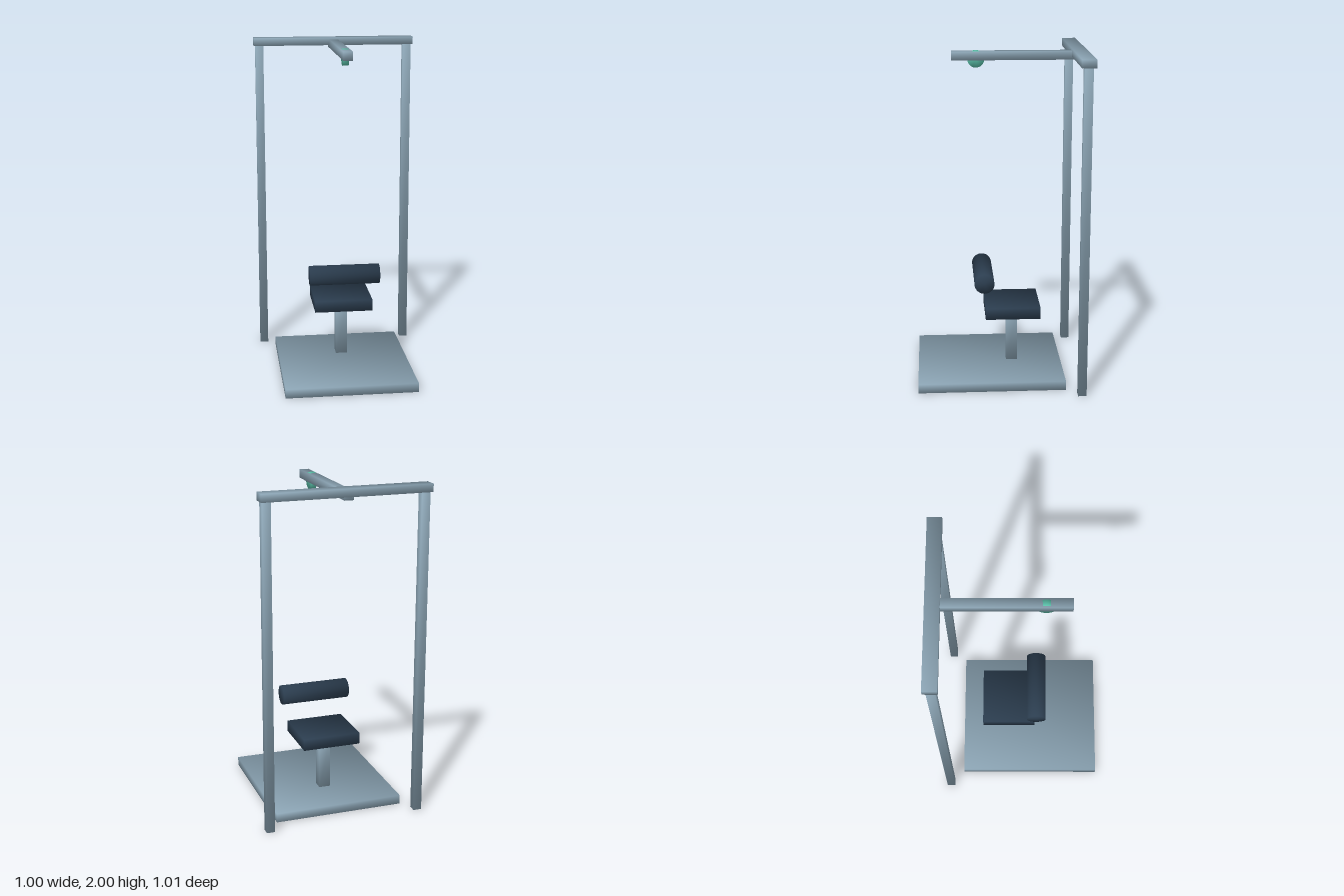
import * as THREE from 'three';

const steel = new THREE.MeshStandardMaterial({ color: 0x8ca5b5 });
const padding = new THREE.MeshStandardMaterial({ color: 0x2c3e50 });
const green = new THREE.MeshStandardMaterial({ color: 0x5abfa8 });

// Softened shading: every corner normal is the blend of the faces that meet there.
function soften(geometry, normalAt) {
  const { position, normal } = geometry.attributes;
  const p = new THREE.Vector3();
  for (let i = 0; i < position.count; i++) {
    const n = normalAt(p.fromBufferAttribute(position, i)).normalize();
    normal.setXYZ(i, n.x, n.y, n.z);
  }
  return geometry;
}

// Box given by its [min, max] extents on each axis
function box(name, material, [x0, x1], [y0, y1], [z0, z1]) {
  const geometry = soften(
    new THREE.BoxGeometry(x1 - x0, y1 - y0, z1 - z0),
    (p) => new THREE.Vector3(Math.sign(p.x), Math.sign(p.y), Math.sign(p.z))
  );
  const mesh = new THREE.Mesh(geometry, material);
  mesh.name = name;
  mesh.position.set((x0 + x1) / 2, (y0 + y1) / 2, (z0 + z1) / 2);
  return mesh;
}

// Cylinder lying along x
function roller(name, material, radius, length, y, z) {
  const geometry = soften(
    new THREE.CylinderGeometry(radius, radius, length, 32),
    (p) => new THREE.Vector3(p.x / radius, Math.sign(p.y), p.z / radius)
  ).rotateZ(Math.PI / 2);
  const mesh = new THREE.Mesh(geometry, material);
  mesh.name = name;
  mesh.position.set(0, y, z);
  return mesh;
}

export function createModel() {
  const model = new THREE.Group();
  model.name = 'pulldownMachine';

  // Floor plate
  model.add(box('basePlate', steel, [-0.395, 0.395], [0, 0.055], [-0.378, 0.507]));

  // Rear frame: two uprights under a crossbeam
  for (const [name, x] of [['leftUpright', 0.465], ['rightUpright', -0.465]]) {
    model.add(box(name, steel, [x - 0.025, x + 0.025], [0, 1.955], [-0.49, -0.44]));
  }
  model.add(box('crossbeam', steel, [-0.5, 0.5], [1.953, 2], [-0.507, -0.424]));

  // Overhead arm with its pulley wheel
  model.add(box('overheadArm', steel, [-0.028, 0.028], [1.936, 1.987], [-0.506, 0.283]));
  model.add(roller('pulley', green, 0.05, 0.035, 1.942, 0.14));

  // Seat on its post, and the thigh roller above
  model.add(box('seatPost', steel, [-0.035, 0.035], [0.055, 0.375], [-0.108, -0.039]));
  model.add(box('seat', padding, [-0.177, 0.177], [0.375, 0.445], [-0.241, 0.093]));
  model.add(roller('thighRoller', padding, 0.06, 0.426, 0.617, 0.102));

  return model;
}
